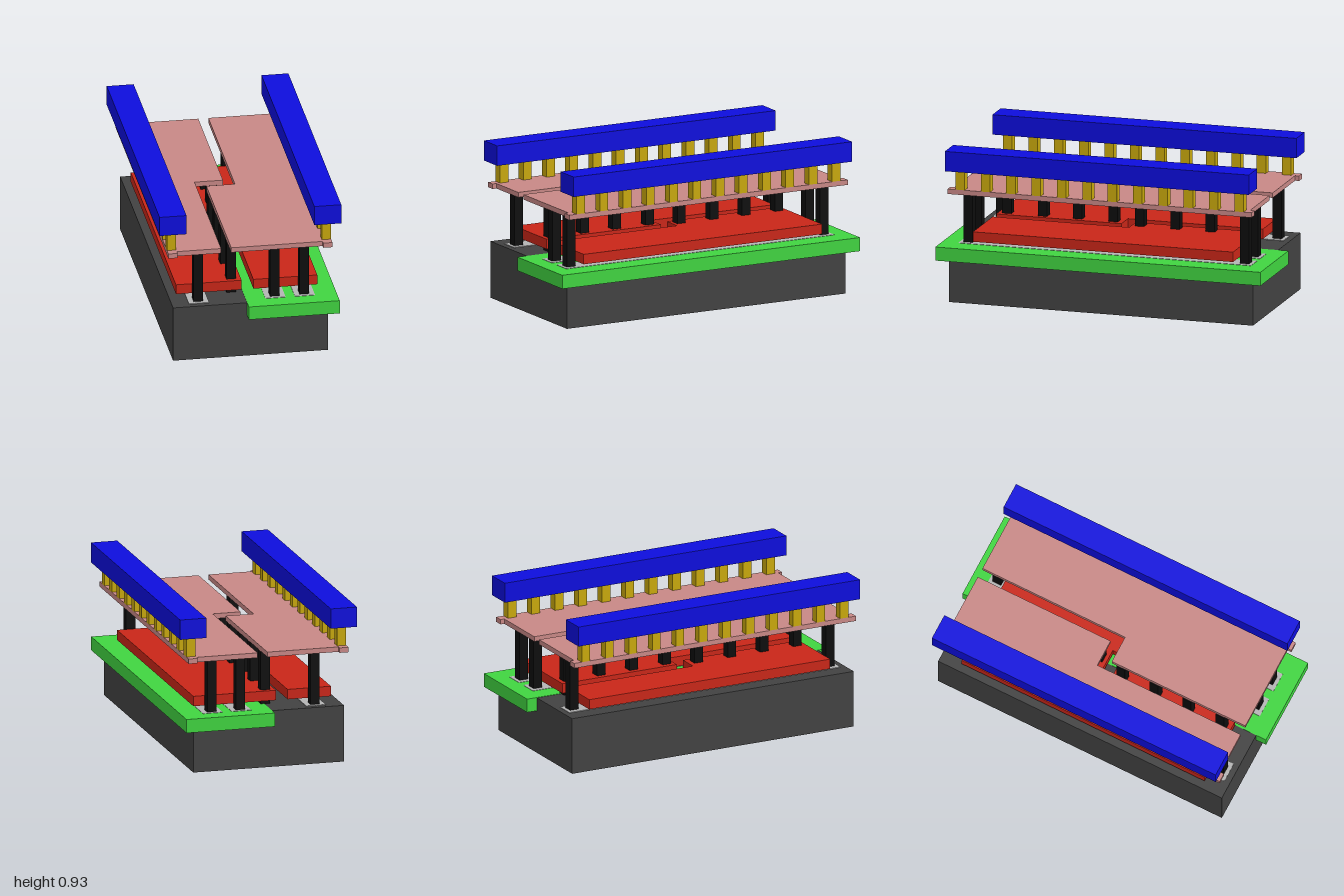
import * as THREE from 'three';

const mat = (color) => new THREE.MeshStandardMaterial({ color });
const M = {
  substrate: mat(0x424242), well: mat(0x40d440), pad: mat(0xb4b4b4), gate: mat(0xc92618),
  contact: mat(0x0d0d0d), metal: mat(0xc88886), via: mat(0xc8a80c), rail: mat(0x0d0ddd),
};

export function createModel() {
  const model = new THREE.Group();

  const add = (name, geometry, material) => {
    const mesh = new THREE.Mesh(geometry, material);
    mesh.name = name;
    model.add(mesh);
    return mesh;
  };

  // Box given by its limits on each axis
  const box = (name, material, [x0, x1], [y0, y1], [z0, z1]) =>
    add(name, new THREE.BoxGeometry(x1 - x0, y1 - y0, z1 - z0), material)
      .position.set((x0 + x1) / 2, (y0 + y1) / 2, (z0 + z1) / 2);

  // Flat plate from an outline of [x, z] points
  const plate = (name, material, outline, y0, y1) => {
    const shape = new THREE.Shape(outline.map(([x, z]) => new THREE.Vector2(x, z)));
    const geometry = new THREE.ExtrudeGeometry(shape, { depth: y1 - y0, bevelEnabled: false });
    add(name, geometry.rotateX(Math.PI / 2).translate(0, y1, 0), material);
  };

  // Stepped plate: inner edge at xBack for z < zStep and at xFront beyond it
  const stepped = (outer, xBack, xFront, zStep, zEnd) => [
    [outer, -zEnd], [xBack, -zEnd], [xBack, zStep], [xFront, zStep], [xFront, zEnd], [outer, zEnd],
  ];

  // Base block with the wider well set into its +x half
  box('substrate', M.substrate, [-0.46, 0.46], [0, 0.34], [-0.935, 0.935]);
  box('well', M.well, [-0.02, 0.52], [0.26, 0.342], [-1, 1]);

  // Thin pale strips under the outer contacts
  for (const x of [-0.3, 0.155, 0.33])
    box('padStrip', M.pad, [x - 0.06, x + 0.06], [0.335, 0.344], [-0.9, 0.9]);

  // Two interlocking gate plates with a stepped gap between them
  plate('rightGate', M.gate, stepped(-0.42, -0.155, -0.03, 0.03, 0.8), 0.365, 0.425);
  plate('leftGate', M.gate, stepped(0.42, -0.085, 0.04, -0.04, 0.8), 0.365, 0.425);

  // Contact posts: outer ones at both ends, inner ones in two staggered rows
  const post = (x, z) =>
    box('contactPost', M.contact, [x - 0.028, x + 0.028], [0.34, 0.66], [z - 0.028, z + 0.028]);
  for (const s of [-1, 1]) {
    for (const x of [-0.3, 0.155, 0.33]) post(x, s * 0.85);
    for (const z of [0.09, 0.31, 0.525, 0.745]) post(s > 0 ? -0.087 : -0.027, s * z);
  }

  // Upper metal sheets with a stepped slot between them
  plate('rightMetalSheet', M.metal, stepped(-0.435, 0, -0.17, -0.035, 0.91), 0.66, 0.69);
  plate('leftMetalSheet', M.metal, stepped(0.435, 0.06, -0.11, 0.03, 0.91), 0.66, 0.69);

  // Edge strips, rows of via blocks and the top rails
  for (const s of [-1, 1]) {
    const span = (a, b) => (s > 0 ? [a, b] : [-b, -a]);
    box('metalEdge', M.metal, span(0.433, 0.488), [0.66, 0.69], [-0.935, 0.935]);
    for (let i = 0; i < 12; i++) {
      const z = (i - 5.5) * 0.156;
      box('viaBlock', M.via, span(0.433, 0.488), [0.69, 0.81], [z - 0.028, z + 0.028]);
    }
    box('topRail', M.rail, span(0.38, 0.54), [0.81, 0.93], [-0.935, 0.935]);
  }

  return model;
}
